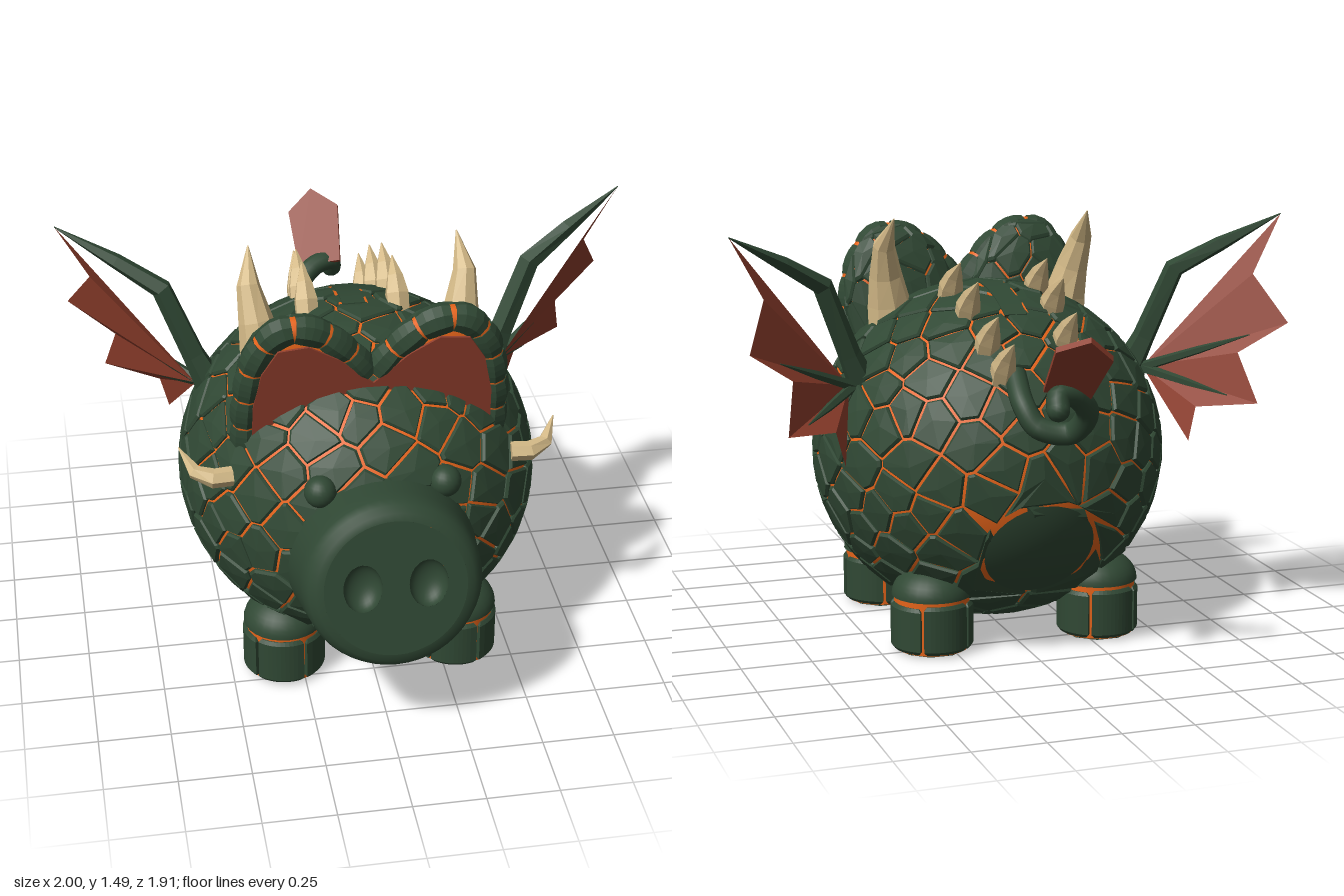
import * as THREE from 'three';

const V = (x, y, z) => new THREE.Vector3(x, y, z);
const mat = (name, color, side = THREE.FrontSide, flatShading = false) =>
  Object.assign(new THREE.MeshStandardMaterial({ color, side, flatShading }), { name });

const green = mat('dark green hide', 0x304834, THREE.DoubleSide);
const orange = mat('glowing orange cracks', 0xe8651a);
const red = mat('rust red skin', 0x8f3e2c, THREE.DoubleSide, true);
const bone = mat('bone', 0xd3b987);

function add(parent, name, geometry, material, pos = [0, 0, 0], rot = [0, 0, 0]) {
  const m = new THREE.Mesh(geometry, material);
  m.name = name;
  m.position.set(...pos);
  m.rotation.set(...rot);
  parent.add(m);
  return m;
}

function fromTriangles(points) {
  const g = new THREE.BufferGeometry().setFromPoints(points);
  g.computeVertexNormals();
  return g;
}

// Faceted tapering limb through a few points, closed at both ends
function loft(path, radii, sides = 6) {
  const chord = path[path.length - 1].clone().sub(path[0]).toArray().map(Math.abs);
  const ref = V(0, 0, 0).setComponent(chord.indexOf(Math.min(...chord)), 1);
  const rings = path.map((p, i) => {
    const t = path[Math.min(i + 1, path.length - 1)].clone().sub(path[Math.max(i - 1, 0)]).normalize();
    const n = ref.clone().cross(t).normalize(), b = t.clone().cross(n);
    return Array.from({ length: sides }, (_, j) => {
      const a = (j / sides) * Math.PI * 2;
      return p.clone().addScaledVector(n, Math.cos(a) * radii[i]).addScaledVector(b, Math.sin(a) * radii[i]);
    });
  });
  const tris = [], last = rings.length - 1;
  for (let j = 0; j < sides; j++) {
    const k = (j + 1) % sides;
    for (let i = 0; i < last; i++)
      tris.push(rings[i][j], rings[i][k], rings[i + 1][k], rings[i][j], rings[i + 1][k], rings[i + 1][j]);
    tris.push(path[0], rings[0][k], rings[0][j], path[last], rings[last][j], rings[last][k]);
  }
  return fromTriangles(tris);
}

// Irregular bevelled plates on a scaled sphere: one shrunken Voronoi cell per seed
function plates(count, gap, thick, scale, keep, hole, holeAngle = 0) {
  let state = 7;
  const rnd = () => (state = (state * 16807) % 2147483647) / 2147483647 - 0.5;
  const jitter = 1.9 / Math.sqrt(count);
  const seeds = Array.from({ length: count }, (_, i) => {
    const y = 1 - (2 * i + 1) / count, r = Math.sqrt(1 - y * y), a = i * 2.39996;
    return V(r * Math.cos(a) + rnd() * jitter, y + rnd() * jitter, r * Math.sin(a) + rnd() * jitter).normalize();
  }).filter(s => !hole || s.angleTo(hole) > holeAngle + 0.05);
  const tris = [];
  for (const s of seeds.filter(keep)) {
    const u = V(0.31, 0.9, 0.27).cross(s).normalize(), v = s.clone().cross(u);
    let poly = [[-1, -1], [1, -1], [1, 1], [-1, 1]].map(([a, b]) =>
      s.clone().addScaledVector(u, a * 0.6).addScaledVector(v, b * 0.6));
    for (const t of seeds) {
      if (t === s || t.angleTo(s) > 1.2) continue;
      const n = s.clone().sub(t).normalize(), out = [];
      poly.forEach((p, i) => {
        const q = poly[(i + 1) % poly.length], dp = p.dot(n) - gap, dq = q.dot(n) - gap;
        if (dp >= 0) out.push(p);
        if (dp * dq < 0) out.push(p.clone().lerp(q, dp / (dp - dq)));
      });
      poly = out;
    }
    if (poly.length < 3) continue;
    // Corners that reach into the round hole are moved out to its rim
    poly = poly.map(p => {
      const d = p.clone().normalize();
      if (!hole || d.angleTo(hole) > holeAngle) return d;
      const away = d.clone().addScaledVector(hole, -d.dot(hole)).normalize();
      return hole.clone().multiplyScalar(Math.cos(holeAngle)).addScaledVector(away, Math.sin(holeAngle));
    });
    const levels = [[1 - thick, 1], [1 - thick * 0.3, 1], [1, 0.91]].map(([r, f]) =>
      poly.map(p => s.clone().lerp(p, f).normalize().multiplyScalar(r)));
    poly.forEach((_, i) => {
      const j = (i + 1) % poly.length;
      for (let l = 0; l < 2; l++) {
        const a = levels[l], b = levels[l + 1];
        tris.push(a[i], a[j], b[j], a[i], b[j], b[i]);
      }
      tris.push(s, levels[2][i], levels[2][j]);
    });
  }
  return fromTriangles(tris.map(p => p.clone().multiply(scale)));
}

export function createModel() {
  const root = new THREE.Group();
  root.name = 'dragonPiggyBank';
  const centre = [0, 0.637, 0.09], size = V(0.632, 0.608, 0.664);

  // Round body: glowing core under cracked plates, with a plug at the back
  const plugDir = V(0, -0.42, -0.907).normalize();
  const toPlug = new THREE.Quaternion().setFromUnitVectors(V(0, 1, 0), plugDir);
  add(root, 'bodyCore', new THREE.SphereGeometry(0.977, 56, 40).scale(...size), orange, centre);
  add(root, 'bodyPlates', plates(250, 0.0085, 0.04, size, () => true, plugDir, 0.35), green, centre);
  add(root, 'plug', new THREE.SphereGeometry(0.992, 32, 8, 0, Math.PI * 2, 0, 0.318).applyQuaternion(toPlug).scale(...size),
    green, centre);

  // Coin slot along the top of the back, edged by a crack
  for (const [name, r, w, material] of [['slotEdge', 0.7, 0.1, orange], ['coinSlot', 0.705, 0.08, green]]) {
    const arc = new THREE.Shape();
    arc.absarc(0, 0, r, 1.62, 2.04, false);
    arc.absarc(0, 0, 0.66, 2.04, 1.62, true);
    add(root, name, new THREE.ExtrudeGeometry(arc, { depth: w, bevelEnabled: false, curveSegments: 12 }),
      material, [w / 2, 0.542, 0.09], [0, -Math.PI / 2, 0]);
  }

  // Snout with two hollow nostrils
  const snout = new THREE.Group();
  snout.name = 'snout';
  snout.position.set(0, 0.64, 0.91);
  snout.rotation.x = -0.19;
  root.add(snout);
  const side = [[0.335, -0.38], [0.305, -0.1], [0.3, -0.055], [0.287, -0.024], [0.265, -0.006], [0.24, 0]];
  add(snout, 'snoutSide', new THREE.LatheGeometry(side.map(p => new THREE.Vector2(...p)), 48).rotateX(Math.PI / 2), green);
  const face = new THREE.Shape().absarc(0, 0, 0.24, 0, Math.PI * 2, false);
  for (const s of [-1, 1]) {
    face.holes.push(new THREE.Path().absellipse(s * 0.11, 0.01, 0.065, 0.085, 0, Math.PI * 2, true));
    add(snout, 'nostril', new THREE.SphereGeometry(1, 24, 10, 0, Math.PI * 2, Math.PI / 2, Math.PI / 2)
      .rotateX(Math.PI / 2).scale(0.065, 0.085, 0.055), green, [s * 0.11, 0.01, 0]);
  }
  add(snout, 'snoutFace', new THREE.ShapeGeometry(face, 32), green);

  for (const s of [-1, 1]) {
    const P = (x, y, z) => V(s * x, y, z);
    add(root, 'eye', new THREE.SphereGeometry(0.055, 20, 14), green, [s * 0.21, 0.875, 0.65]);

    // Horns and back spikes
    add(root, 'cheekHorn', loft([P(0.48, 0.84, 0.455), P(0.545, 0.84, 0.46), P(0.605, 0.853, 0.43), P(0.65, 0.905, 0.35)],
      [0.034, 0.034, 0.026, 0.002]), bone);
    add(root, 'headHorn', loft([P(0.33, 1.03, 0.19), P(0.335, 1.16, 0.19), P(0.355, 1.27, 0.165), P(0.372, 1.38, 0.12), P(0.36, 1.485, 0.03)],
      [0.08, 0.08, 0.06, 0.04, 0.002], 8), bone);
    for (const [x, z] of [[0.16, 0.02], [0.155, -0.16], [0.14, -0.33], [0.115, -0.42]]) {
      const y = 0.637 + 0.605 * Math.sqrt(1 - (x / 0.63) ** 2 - ((z - 0.09) / 0.66) ** 2);
      add(root, 'backSpike', loft([P(x, y - 0.04, z + 0.02), P(x, y + 0.025, z - 0.015), P(x, y + 0.07, z - 0.055), P(x, y + 0.12, z - 0.12)],
        [0.042, 0.044, 0.03, 0.002]), bone);
    }

    // Ear: cracked back shell, chunky rim over a glowing core, red inside
    const ear = new THREE.Group();
    ear.name = 'ear';
    ear.position.set(0, 1.1, 0.365);
    ear.rotation.x = 0.14;
    root.add(ear);
    const shellAt = [s * 0.235, 0.02, 0], lean = [0, 0, -s * 0.15];
    add(ear, 'earCore', new THREE.SphereGeometry(1, 32, 20).scale(0.205, 0.285, 0.078), orange, shellAt, lean);
    add(ear, 'earShell', plates(46, 0.018, 0.1, V(0.22, 0.3, 0.088), p => p.z < 0.25), green, shellAt, lean);
    const inside = new THREE.Shape([[0.41, -0.2], [0.405, 0], [0.375, 0.14], [0.32, 0.23], [0.22, 0.24], [0.12, 0.18], [0, 0.07], [0, -0.2]]
      .map(([x, y]) => new THREE.Vector2(s * x, y)));
    add(ear, 'earInside', new THREE.ExtrudeGeometry(inside, { depth: 0.008, bevelEnabled: false }), red, [0, 0, 0.075]);
    const rim = new THREE.CatmullRomCurve3([P(0.425, -0.2, 0.035), P(0.42, 0, 0.035), P(0.385, 0.18, 0.035), P(0.31, 0.275, 0.035),
      P(0.21, 0.275, 0.035), P(0.105, 0.2, 0.035), P(0.015, 0.085, 0.035)]);
    add(ear, 'rimCore', new THREE.TubeGeometry(rim, 36, 0.044, 10), orange);
    for (let i = 0; i < 8; i++) {
      const along = [0.04, 0.28, 0.5, 0.72, 0.96].map(d => rim.getPointAt((i + d) / 8));
      add(ear, 'earRim', loft(along, [0.048, 0.053, 0.054, 0.053, 0.048], 8), green);
    }

    // Wing: folded skin hung from a bent arm, with short ribs behind
    const wing = new THREE.Group();
    wing.name = 'wing';
    root.add(wing);
    const base = P(0.55, 0.92, -0.045);
    const edge = [P(1, 1.48, -0.225), P(0.89, 1.27, -0.24), P(0.97, 1.11, -0.37), P(0.81, 1.0, -0.3),
      P(0.85, 0.83, -0.39), P(0.66, 0.81, -0.28), P(0.63, 0.69, -0.29)];
    const skin = [];
    for (let i = 0; i < edge.length - 1; i++) skin.push(base, edge[i], edge[i + 1]);
    add(wing, 'wingSkin', fromTriangles(skin), red);
    add(wing, 'wingArm', loft([P(0.48, 0.88, -0.03), P(0.55, 1.03, -0.055), P(0.65, 1.28, -0.09), P(0.8, 1.37, -0.15), P(1, 1.48, -0.225)],
      [0.06, 0.042, 0.038, 0.028, 0.002], 5), green);
    for (const i of [2, 4]) {
      const rib = [0, 0.4, 0.75].map(d => base.clone().lerp(edge[i], d).add(P(-0.012, 0, -0.014)));
      add(wing, 'wingRib', loft(rib, [0.02, 0.015, 0.002], 5), green);
    }

    // Legs: rounded top, curved plates around a glowing core, and a sole
    for (const z of [0.41, -0.23]) {
      const leg = new THREE.Group();
      leg.name = z > 0 ? 'frontLeg' : 'backLeg';
      leg.position.set(s * 0.31, 0, z);
      root.add(leg);
      add(leg, 'legCore', new THREE.CylinderGeometry(0.134, 0.13, 0.2, 24), orange, [0, 0.108, 0]);
      add(leg, 'legTop', new THREE.SphereGeometry(1, 28, 10, 0, Math.PI * 2, 0, Math.PI / 2).scale(0.142, 0.105, 0.142),
        green, [0, 0.2, 0]);
      add(leg, 'sole', new THREE.CylinderGeometry(0.122, 0.118, 0.02, 9), green, [0, 0.01, 0]);
      for (let i = 0; i < 5; i++) {
        const a = i * Math.PI * 0.4 + 0.5 * z, b = a + Math.PI * 0.4 - 0.21;
        const sector = new THREE.Shape();
        sector.absarc(0, 0, 0.136, a, b, false);
        sector.absarc(0, 0, 0.118, b, a, true);
        const plate = new THREE.ExtrudeGeometry(sector, {
          depth: i % 2 ? 0.15 : 0.142, bevelSize: 0.009, bevelThickness: 0.012, bevelSegments: 1, curveSegments: 5 });
        add(leg, 'legPlate', plate, green, [0, 0.024, 0], [-Math.PI / 2, 0, 0]);
      }
    }
  }

  // Curly tail with an arrow tip
  const curl = new THREE.CatmullRomCurve3([V(0.07, 1.0, -0.42), V(0.075, 0.91, -0.53), V(0.04, 0.845, -0.575),
    V(-0.06, 0.83, -0.62), V(-0.09, 0.91, -0.69), V(-0.03, 0.98, -0.735), V(0.04, 0.99, -0.765), V(0.05, 0.95, -0.79)]);
  add(root, 'tail', new THREE.TubeGeometry(curl, 48, 0.039, 12), green);
  add(root, 'tailEnd', new THREE.SphereGeometry(0.039, 12, 10), green, [0.05, 0.95, -0.79]);
  const arrow = new THREE.Shape([[-0.08, 0], [0.08, 0], [0.095, 0.22], [0, 0.3], [-0.095, 0.22]].map(p => new THREE.Vector2(...p)));
  add(root, 'tailTip', new THREE.ExtrudeGeometry(arrow, { depth: 0.022, bevelEnabled: false }), red,
    [0, 0.985, -0.74], [-Math.PI / 4, -0.25, 0]);
  return root;
}
